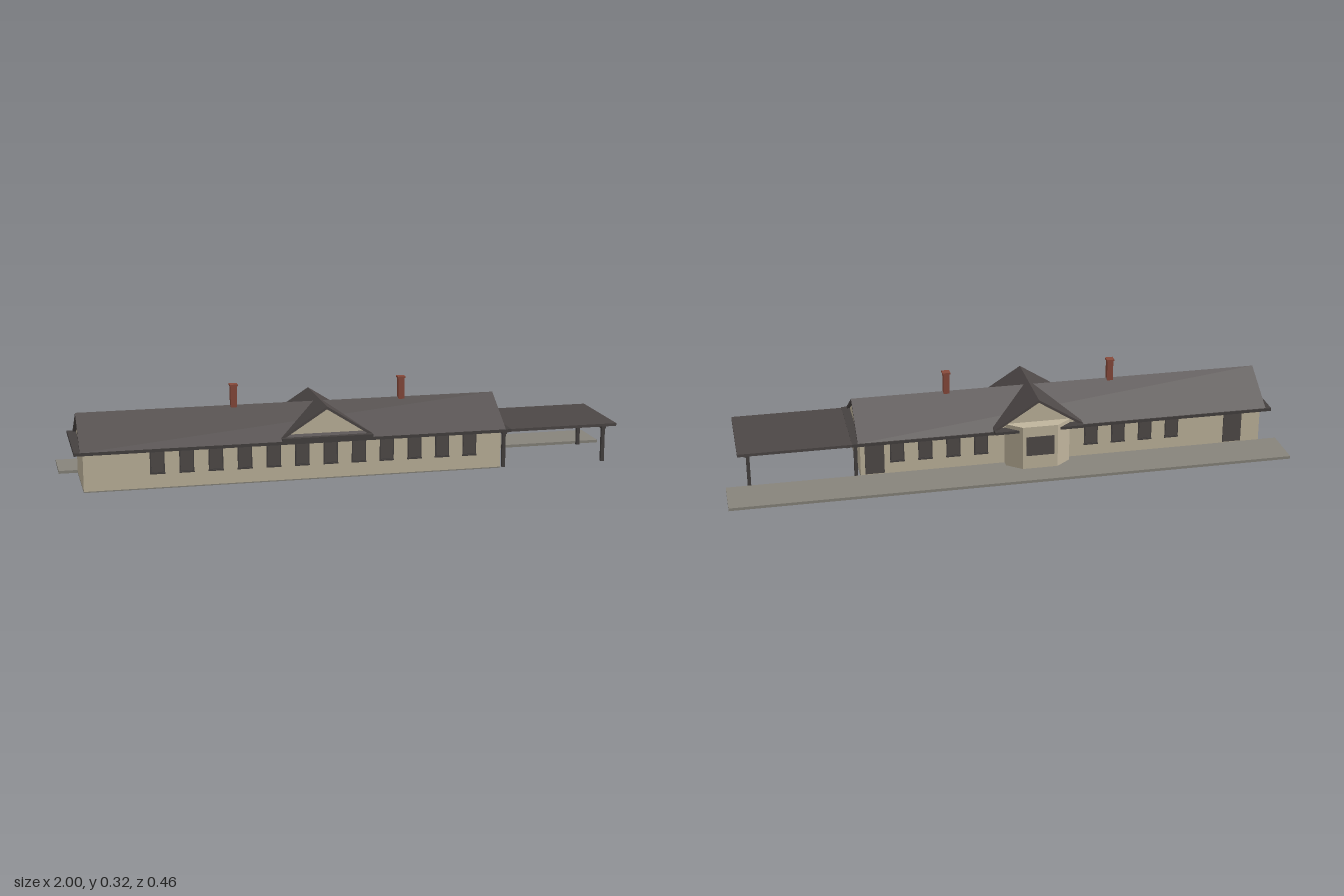
import * as THREE from 'three';

const flat = (name, color) => {
  const m = new THREE.MeshStandardMaterial({ color });
  m.name = name;
  return m;
};

export function createModel() {
  const wall = flat('stone', 0xc0b59d);
  const roof = flat('shingle', 0x4d4746);
  const trim = flat('dark trim', 0x454140);
  const glass = flat('dark glass', 0x504b49);
  const brick = flat('brick', 0x87493a);
  const paving = flat('paving', 0x87847b);
  const model = new THREE.Group();
  model.name = 'stationBuilding';

  const add = (name, geometry, material, parent = model) => {
    const mesh = new THREE.Mesh(geometry, material);
    mesh.name = name;
    parent.add(mesh);
    return mesh;
  };
  // Box given by its limits on each axis
  const box = (name, mat, [x0, x1], [y0, y1], [z0, z1], parent) => {
    const mesh = add(name, new THREE.BoxGeometry(x1 - x0, y1 - y0, z1 - z0), mat, parent);
    mesh.position.set((x0 + x1) / 2, (y0 + y1) / 2, (z0 + z1) / 2);
    return mesh;
  };
  const extrude = (points, depth) => new THREE.ExtrudeGeometry(
    new THREE.Shape(points.map(p => new THREE.Vector2(...p))), { depth, bevelEnabled: false });
  // Bent roof sheet and the triangle below it, both centred on the ridge
  const roofProfile = (half, low, high, t) =>
    [[-half, low], [-half + t * 1.6, low], [0, high - t], [half - t * 1.6, low], [half, low], [0, high]];
  const gableProfile = (half, low, high) => [[-half, low], [half, low], [0, high]];

  const RIDGE_Z = 0.064, CROSS_X = -0.1, BACK = -0.07, FRONT = 0.198;

  // Walls, footing and platform
  box('platform', paving, [-1, 1], [0, 0.01], [-0.23, BACK]);
  box('footing', paving, [-0.934, 0.53], [0, 0.004], [BACK, FRONT]);
  box('walls', wall, [-0.934, 0.53], [0.004, 0.137], [BACK, FRONT]);

  // Main roof with end gables
  box('mainEaves', trim, [-0.965, 0.56], [0.135, 0.146], [-0.102, 0.226]);
  const mainRoof = add('mainRoof', extrude(roofProfile(0.162, 0.146, 0.247, 0.01), 1.485), roof);
  mainRoof.rotation.y = Math.PI / 2;
  mainRoof.position.set(-0.945, 0, RIDGE_Z);
  const mainGable = add('endGables', extrude(gableProfile(0.147, 0.146, 0.238), 1.464), wall);
  mainGable.rotation.y = Math.PI / 2;
  mainGable.position.set(-0.934, 0, RIDGE_Z);

  // Cross roof with front and back gables
  box('crossEaves', trim, [-0.26, 0.06], [0.146, 0.156], [-0.128, 0.229]);
  const crossRoof = add('crossRoof', extrude(roofProfile(0.16, 0.156, 0.258, 0.01), 0.318), roof);
  crossRoof.position.set(CROSS_X, 0, -0.108);
  const crossGable = add('crossGables', extrude(gableProfile(0.145, 0.156, 0.249), 0.29), wall);
  crossGable.position.set(CROSS_X, 0, -0.092);

  // Canted bay on the platform side
  const bay = add('bay', extrude(
    [[-0.115, 0.07], [0.115, 0.07], [0.115, 0.095], [0.063, 0.137], [-0.063, 0.137], [-0.115, 0.095]], 0.17), wall);
  bay.rotation.x = -Math.PI / 2;
  bay.position.x = CROSS_X;
  box('bayWindow', glass, [-0.15, -0.05], [0.06, 0.132], [-0.139, -0.136]);

  // Windows: side is +1 on the front wall and -1 on the back wall
  const makeWindow = (x, side) => {
    const group = new THREE.Group();
    group.name = side > 0 ? 'frontWindow' : 'backWindow';
    box('windowFrame', trim, [-0.025, 0.025], [0.055, 0.135], [0, 0.002], group);
    box('windowGlass', glass, [-0.021, 0.021], [0.059, 0.131], [0, 0.003], group);
    box('windowSill', trim, [-0.026, 0.026], [0.052, 0.057], [0, 0.005], group);
    group.position.set(x, 0, side > 0 ? FRONT : BACK);
    if (side < 0) group.rotation.y = Math.PI;
    model.add(group);
  };
  for (let i = 0; i < 12; i++) makeWindow(-0.685 + i * 0.1, 1);
  for (const x of [-0.6, -0.5, -0.4, -0.3, 0.1, 0.2, 0.3, 0.4]) makeWindow(x, -1);
  for (const x of [-0.83, 0.48]) {
    box('door', glass, [x - 0.034, x + 0.034], [0.014, 0.132], [BACK - 0.004, BACK]);
  }

  // Open canopy on posts
  box('canopyRoof', roof, [0.54, 0.955], [0.135, 0.145], [-0.099, 0.221]);
  for (const x of [0.545, 0.918]) {
    for (const z of [-0.058, 0.187]) {
      box('canopyPost', trim, [x - 0.006, x + 0.006], [0, 0.135], [z - 0.006, z + 0.006]);
      box('postCap', trim, [x - 0.008, x + 0.008], [0.121, 0.135], [z - 0.011, z + 0.011]);
    }
  }

  // Chimneys on the ridge
  for (const x of [-0.4, 0.2]) {
    box('chimney', brick, [x - 0.011, x + 0.011], [0.225, 0.315], [RIDGE_Z - 0.011, RIDGE_Z + 0.011]);
    box('chimneyCap', brick, [x - 0.014, x + 0.014], [0.315, 0.321], [RIDGE_Z - 0.014, RIDGE_Z + 0.014]);
  }
  return model;
}
